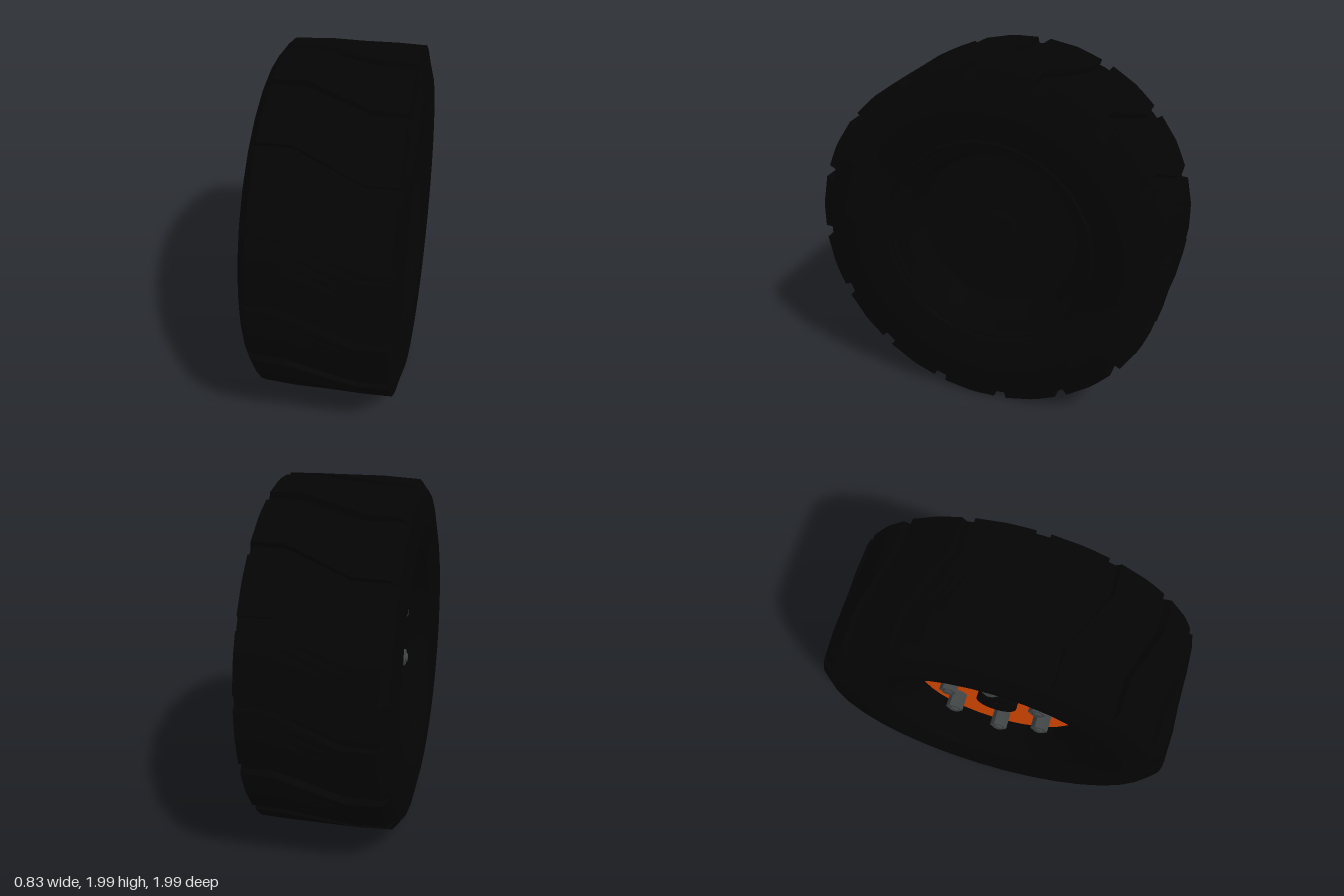
import * as THREE from 'three';
import { toCreasedNormals } from 'three/addons/utils/BufferGeometryUtils.js';

const DEG = Math.PI / 180;
const SIDES = 32;
const LUGS = 16;

function material(name, color) {
  const m = new THREE.MeshStandardMaterial({ color });
  m.name = name;
  return m;
}

// Surface of revolution about the x axis; profile is a list of [radius, x]
function revolve(name, profile, mat) {
  const points = profile.map(([r, x]) => new THREE.Vector2(r, x));
  let geo = new THREE.LatheGeometry(points, SIDES, Math.PI / SIDES);
  geo.rotateZ(-Math.PI / 2);
  geo = toCreasedNormals(geo, 25 * DEG);
  const mesh = new THREE.Mesh(geo, mat);
  mesh.name = name;
  return mesh;
}

// Cross-section of the tread: [x, radius]
const treadSection = [
  [-0.417, 0.78], [-0.386, 0.93], [-0.34, 0.99], [-0.16, 1], [0.2, 1],
  [0.37, 0.996], [0.386, 0.93], [0.412, 0.84], [0.417, 0.78],
];

// Radius factor of a regular polygon with a flat at angle 0
function facet(angle) {
  const step = (2 * Math.PI) / SIDES;
  const a = angle - Math.round(angle / step) * step;
  return Math.cos(step / 2) / Math.cos(a);
}

// Grooves run straight at both shoulders and slant across the middle
function grooveAngle(x) {
  const t = THREE.MathUtils.clamp((x + 0.16) / 0.36, 0, 1);
  return THREE.MathUtils.lerp(7.2, -2.3, t);
}

function treadGeometry() {
  const pitch = 360 / LUGS, width = 4.3, floor = 0.957;
  // Steps around one lug: angle past the groove's upper edge, and whether cut down
  const steps = [[0, false]];
  const parts = 6;
  for (let i = 1; i <= parts; i++) steps.push([((pitch - width) * i) / parts, false]);
  steps.push([pitch - width, true], [pitch - width / 2, true], [pitch, true]);

  const columns = [];
  for (let k = 0; k < LUGS; k++) {
    for (const [offset, cut] of steps) {
      columns.push(treadSection.map(([x, r]) => {
        const a = (grooveAngle(x) + k * pitch + offset) * DEG;
        const radius = (cut ? Math.min(r, floor) : r) * facet(a);
        return [x, 1 + radius * Math.sin(a), radius * Math.cos(a)];
      }));
    }
  }
  const pos = [];
  columns.forEach((a, i) => {
    const b = columns[(i + 1) % columns.length];
    for (let j = 0; j < a.length - 1; j++) {
      pos.push(...a[j], ...a[j + 1], ...b[j + 1], ...a[j], ...b[j + 1], ...b[j]);
    }
  });
  const geo = new THREE.BufferGeometry();
  geo.setAttribute('position', new THREE.Float32BufferAttribute(pos, 3));
  geo.computeVertexNormals();
  return geo;
}

export function createModel() {
  const black = material('black rubber', 0x040404);
  const orange = material('orange plate', 0xd94800);
  const steel = material('dark steel', 0x424646);

  const model = new THREE.Group();
  model.name = 'wheel';

  const tread = new THREE.Mesh(treadGeometry(), black);
  tread.name = 'tread';
  model.add(tread);

  const wheel = new THREE.Group();
  wheel.name = 'sidesAndRim';
  wheel.position.y = 1;
  model.add(wheel);

  // Sidewalls
  const wall = [[0.78, 0.417], [0.7, 0.405], [0.61, 0.37], [0.6, 0.34]];
  const mirror = (p) => p.map(([r, x]) => [r, -x]).reverse();
  wheel.add(revolve('leftSidewall', wall, black));
  wheel.add(revolve('rightSidewall', mirror(wall), black));

  // Closed dish with a hub cap on the left
  const lip = [[0.6, 0.34], [0.585, 0.35], [0.57, 0.33]];
  wheel.add(revolve('leftRim',
    [...lip, [0.51, 0.3], [0.47, 0.16], [0.46, 0.15], [0.001, 0.15]], black));
  wheel.add(revolve('leftHubCap', [[0.115, 0.14], [0.115, 0.21], [0.001, 0.21]], black));

  // Rim, plate and hub on the right
  wheel.add(revolve('rightRim', mirror([...lip, [0.485, 0.27], [0.475, 0.18]]), black));
  wheel.add(revolve('mountingPlate', [[0.1, -0.18], [0.477, -0.18]], orange));
  wheel.add(revolve('rightHub', [[0.001, -0.235], [0.118, -0.235], [0.118, -0.17]], black));

  // Six hexagonal wheel nuts, each with a stud
  const hex = new THREE.CylinderGeometry(0.05, 0.05, 0.1, 6).toNonIndexed();
  hex.computeVertexNormals();
  const studShape = new THREE.CylinderGeometry(0.026, 0.026, 0.03, 12);
  for (let k = 0; k < 6; k++) {
    const a = (94 + 60 * k) * DEG;
    const nut = new THREE.Group();
    nut.name = 'wheelNut';
    const body = new THREE.Mesh(hex, steel);
    body.name = 'nutBody';
    const stud = new THREE.Mesh(studShape, steel);
    stud.name = 'stud';
    stud.position.y = 0.045;
    nut.add(body, stud);
    nut.rotation.z = Math.PI / 2;
    nut.position.set(-0.23, 0.298 * Math.sin(a), 0.298 * Math.cos(a));
    wheel.add(nut);
  }
  return model;
}
